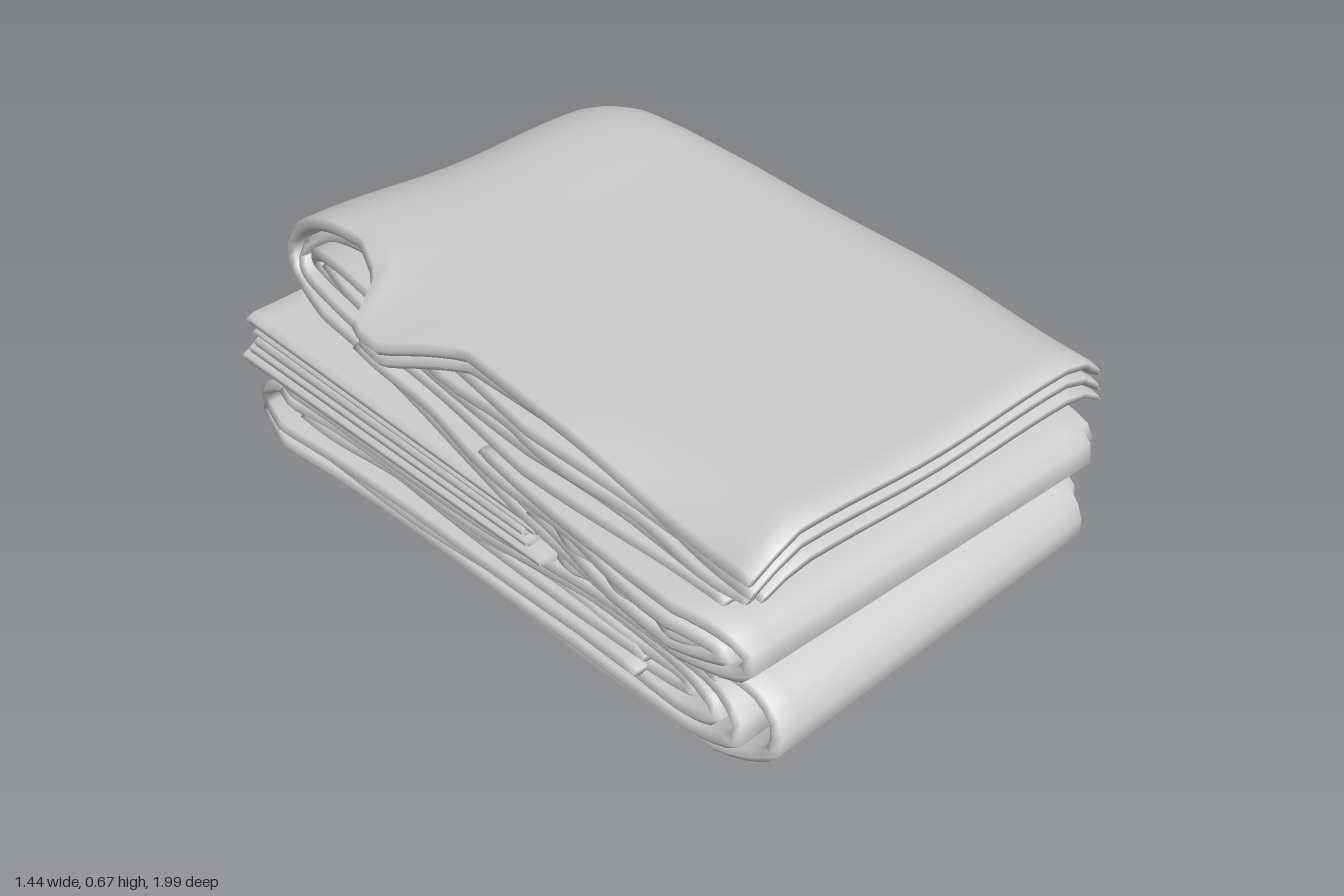
import * as THREE from 'three';

const material = new THREE.MeshStandardMaterial({ color: 0xcccccc, side: THREE.DoubleSide });
const clamp = THREE.MathUtils.clamp;
const smooth = THREE.MathUtils.smoothstep;

// piecewise-linear lookup in a list of [position, value] pairs, ascending
function lookup(table, p) {
  if (p <= table[0][0]) return table[0][1];
  for (let i = 1; i < table.length; i++) {
    const [a, va] = table[i - 1], [b, vb] = table[i];
    if (p <= b) return va + (vb - va) * (p - a) / (b - a);
  }
  return table[table.length - 1][1];
}

// A thick, soft-edged layer of cloth that follows a folded path of [along, up] points.
// edges(along, up) gives its two side limits; warp moves each finished vertex.
function clothLayer(name, path, edges, { t = 0.036, seed = 0, wobble = 0.008, turned = false, warp }) {
  const curve = new THREE.CatmullRomCurve3(path.map(([p, y]) => new THREE.Vector3(0, y, p)), false, 'centripetal');
  curve.arcLengthDivisions = 800;
  const rows = 130, across = 16;

  // cross-section: [side fraction, height], counter-clockwise
  const loop = [];
  for (let j = 0; j <= across; j++) loop.push([j / across, -1]);
  loop.push([1, 0]);
  for (let j = across; j >= 0; j--) loop.push([j / across, 1]);
  loop.push([0, 0]);
  const n = loop.length, positions = [], index = [];
  const v = new THREE.Vector3();

  for (let i = 0; i <= rows; i++) {
    const s = i / rows, c = curve.getPointAt(s), d = curve.getTangentAt(s);
    const [e0, e1] = edges(c.z, c.y);
    const lo = e0 + wobble * Math.sin(s * 23 + seed * 2.1);
    const hi = e1 + wobble * Math.sin(s * 19 + seed * 3.7);
    const end = i === 0 || i === rows ? 0.45 : 1;
    for (const [f, h] of loop) {
      const soft = h === 0 ? 0 : (f === 0 ? 0.012 : f === 1 ? -0.012 : 0);
      const k = h * end * t / 2;
      const w = lo + (hi - lo) * f + soft, y = c.y + d.z * k, p = c.z - d.y * k;
      if (turned) v.set(p, y, -w); else v.set(w, y, p);
      warp(v);
      positions.push(v.x, Math.max(v.y, 0.001), v.z);
    }
  }
  for (let i = 0; i < rows; i++) for (let j = 0; j < n; j++) {
    const k = (j + 1) % n, a = i * n, b = a + n;
    index.push(a + j, a + k, b + k, a + j, b + k, b + j);
  }
  // end strips join the lower and upper faces
  const last = rows * n;
  for (let j = 0; j < across; j++) {
    const a = j, b = j + 1, c = n - 3 - j, d = n - 2 - j;
    index.push(a, d, b, b, d, c, last + a, last + b, last + d, last + b, last + c, last + d);
  }
  const g = new THREE.BufferGeometry();
  g.setAttribute('position', new THREE.Float32BufferAttribute(positions, 3));
  g.setIndex(index);
  g.computeVertexNormals();
  const mesh = new THREE.Mesh(g, material);
  mesh.name = name;
  return mesh;
}

// Bottom cloth: layers rolled at the front and tucked into a small roll at the back
function lowerCloth() {
  const group = new THREE.Group();
  group.name = 'lowerFoldedCloth';
  const outerLeft = [[-0.95, -0.65], [0.4, -0.59], [0.8, -0.56], [0.95, -0.52]];
  const innerLeft = [[-0.95, -0.66], [-0.75, -0.705], [0.05, -0.63], [0.4, -0.59], [0.8, -0.57]];
  const outerRight = [[-0.95, 0.57], [-0.55, 0.62], [0.7, 0.62], [0.95, 0.59]];
  const innerRight = [[-0.95, 0.57], [-0.55, 0.63], [0, 0.65], [0.7, 0.665], [0.88, 0.65]];
  const warp = v => {
    // skewed front roll, rounded back corners
    v.z += 0.06 * smooth(Math.abs(v.x), 0.35, 0.65) * smooth(-v.z, 0.5, 0.95) - 0.045 * v.x * smooth(v.z, 0.2, 0.9);
  };
  const layer = (name, seed, path, left, right, grow, wobble) => group.add(clothLayer(name, path,
    (z, y) => [lookup(left, z) - grow + 0.3 * clamp(y - 0.1, 0, 0.1), lookup(right, z) + grow],
    { seed, warp, wobble, t: 0.035 }));
  layer('lowerOuterFold', 1, [[0.6, 0.128], [0, 0.124], [-0.8, 0.131], [-0.93, 0.123], [-0.98, 0.075], [-0.93, 0.027],
    [-0.8, 0.019], [0, 0.019], [0.7, 0.019], [0.87, 0.035], [0.955, 0.09], [0.945, 0.15], [0.87, 0.21], [0.7, 0.24],
    [0.5, 0.255], [0.3, 0.268]], outerLeft, outerRight, 0, 0.003);
  layer('lowerTopLayer', 14, [[0.8, 0.205], [0.6, 0.222], [0.26, 0.23]], outerLeft, outerRight, 0);
  layer('lowerMiddleFold', 2, [[0.6, 0.1], [0, 0.097], [-0.8, 0.101], [-0.91, 0.095], [-0.935, 0.075], [-0.9, 0.056],
    [-0.75, 0.05], [0, 0.05], [0.6, 0.049], [0.8, 0.062], [0.895, 0.12], [0.83, 0.175], [0.6, 0.194], [0, 0.194],
    [-0.86, 0.196]], innerLeft, innerRight, 0.005);
  layer('lowerInnerFold', 3, [[-0.89, 0.075], [0, 0.075], [0.55, 0.076], [0.74, 0.084], [0.82, 0.12], [0.74, 0.155],
    [0.55, 0.165], [0, 0.161], [-0.84, 0.164]], innerLeft, innerRight, -0.01);
  layer('lowerCoreFold', 4, [[0.2, 0.11], [0.5, 0.1], [0.68, 0.103], [0.73, 0.118], [0.68, 0.134], [0.5, 0.138], [-0.7, 0.144]],
    innerLeft, innerRight, -0.02);
  return group;
}

// Middle cloth: folded around its own left side, open towards the other side
function middleCloth() {
  const group = new THREE.Group();
  group.name = 'middleFoldedCloth';
  const warp = v => {
    // thicker at the back, with a pulled-out corner near its front end
    const k = clamp((0.3 - v.z) / 1.27, 0, 1);
    v.y = 0.215 + (v.y - 0.215) * (0.7 + 0.32 * k);
    const pull = Math.exp(-(((v.z - 0.2) / 0.1) ** 2));
    if (v.x > 0.45) v.x += (0.075 * pull - 0.06 * smooth(-v.z, 0.4, 0.95)) * (v.x - 0.45) / 0.2;
    if (v.x < 0) v.x *= 0.88 + 0.13 * k;
    v.z += (0.04 * Math.max(0, v.x - 0.45) - 0.04 * Math.min(0.45, v.x) - 0.08 * Math.min(0, v.x + 0.4)) * k;
  };
  const layer = (name, seed, path, z0, z1) => group.add(clothLayer(name, path,
    () => [-z1, -z0], { turned: true, seed, warp }));
  layer('middleOuterFold', 5, [[-0.69, 0.235], [-0.55, 0.228], [0, 0.23], [0.5, 0.23], [0.6, 0.242], [0.635, 0.285],
    [0.6, 0.328], [0.5, 0.345], [0, 0.343], [-0.66, 0.335]], -0.965, 0.3);
  layer('middleInnerFold', 6, [[-0.68, 0.264], [0, 0.265], [0.45, 0.265], [0.57, 0.272], [0.595, 0.286], [0.57, 0.302],
    [0.45, 0.309], [0, 0.307], [-0.66, 0.305]], -0.94, 0.25);
  layer('middleCoreLayer', 12, [[0.54, 0.287], [0, 0.286], [-0.67, 0.284]], -0.92, 0.22);
  return group;
}

// Top cloth: an S-fold with a roll at the back above and one at the front below
function upperCloth() {
  const group = new THREE.Group();
  group.name = 'upperFoldedCloth';
  const topLeft = [[-0.95, -0.48], [-0.6, -0.48], [-0.45, -0.54], [-0.36, -0.67], [-0.25, -0.67], [-0.04, -0.56], [0.93, -0.555]];
  const innerLeft = [[-0.9, -0.51], [-0.5, -0.55], [0.2, -0.58], [0.9, -0.54]];
  const lowLeft = [[-0.95, -0.5], [-0.7, -0.56], [0.2, -0.6], [0.75, -0.61], [0.95, -0.56]];
  const right = [[-0.95, 0.59], [-0.6, 0.6], [-0.3, 0.63], [0.5, 0.62], [0.85, 0.6], [0.95, 0.58]];
  const warp = v => {
    const upper = clamp((v.y - 0.42) / 0.15, 0, 1);
    const front = smooth(v.z, 0.3, 0.9);
    const corner = Math.exp(-(((v.z + 0.3) / 0.2) ** 2));
    // sides sag: left front edge, loose left corner and right edge
    v.y -= upper * (0.5 * front * Math.max(0, -v.x - 0.42) + 0.25 * corner * Math.max(0, -v.x - 0.45)
      + (0.35 + 0.35 * front) * Math.max(0, v.x - 0.5));
    v.y += upper * (0.009 * Math.cos(v.x * 8 + 3.1) + 0.009 * v.x - 0.003);
    v.z -= 0.02 * v.x * smooth(-v.z, 0.3, 0.9);
  };
  const layer = (name, seed, path, edges) => group.add(clothLayer(name, path, edges, { seed, warp, t: 0.038 }));
  // the upper pass of a fold follows the loose corner, the lower pass its own edge
  const cornered = (low, inset) => (z, y) => {
    const k = smooth(y, 0.45, 0.57);
    return [lookup(low, z) * (1 - k) + (lookup(topLeft, z) + inset) * k, lookup(right, z) + inset];
  };
  layer('upperOuterFold', 7, [[0.925, 0.615], [0.5, 0.618], [0, 0.622], [-0.35, 0.632], [-0.6, 0.638], [-0.77, 0.62],
    [-0.9, 0.56], [-0.95, 0.49], [-0.92, 0.43], [-0.82, 0.405], [-0.6, 0.397], [0, 0.35], [0.6, 0.292], [0.82, 0.278],
    [0.915, 0.3], [0.935, 0.345], [0.86, 0.39], [0.6, 0.402], [0.05, 0.403]], cornered(lowLeft, 0));
  layer('upperMiddleFold', 8, [[0.925, 0.574], [0.4, 0.577], [0, 0.581], [-0.5, 0.595], [-0.72, 0.582], [-0.85, 0.535],
    [-0.89, 0.49], [-0.85, 0.452], [-0.7, 0.44], [0, 0.437], [0.5, 0.437], [0.84, 0.44]], cornered(innerLeft, 0.02));
  layer('upperInnerFold', 9, [[0.935, 0.535], [0.4, 0.538], [0, 0.543], [-0.5, 0.556], [-0.7, 0.549], [-0.805, 0.525],
    [-0.825, 0.5], [-0.73, 0.478], [0, 0.472], [0.5, 0.472], [0.82, 0.476]],
  z => [lookup(innerLeft, z) + 0.02, lookup(right, z)]);
  layer('upperCoreLayer', 10, [[-0.76, 0.514], [0, 0.507], [0.9, 0.504]],
    z => [lookup(innerLeft, z) + 0.01, lookup(right, z) + 0.02]);
  layer('frontRollInnerFold', 11, [[-0.5, 0.42], [0, 0.388], [0.6, 0.37], [0.8, 0.364], [0.885, 0.338], [0.8, 0.312],
    [0.6, 0.322], [0.25, 0.352]], z => [lookup(lowLeft, z) - 0.01, 0.65]);
  layer('frontRollCoreLayer', 13, [[0.83, 0.338], [0.6, 0.344], [0.2, 0.37]], z => [lookup(lowLeft, z), 0.64]);
  return group;
}

export function createModel() {
  const model = new THREE.Group();
  model.name = 'stackOfFoldedCloths';
  model.add(lowerCloth(), middleCloth(), upperCloth());
  return model;
}
